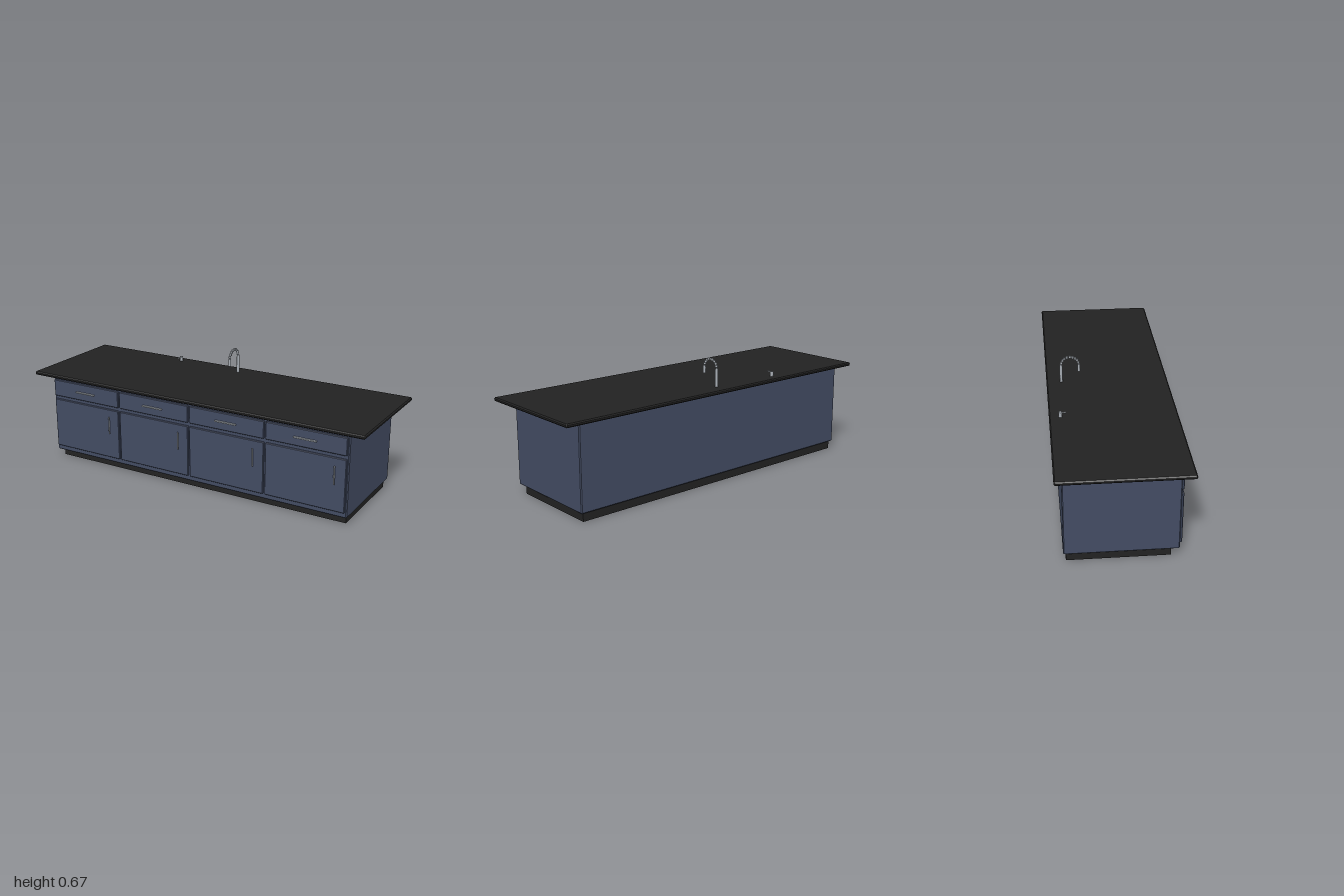
import * as THREE from 'three';
import { ConvexGeometry } from 'three/addons/geometries/ConvexGeometry.js';

const material = (name, color) => Object.assign(new THREE.MeshStandardMaterial({ color }), { name });

// Box between two corners with every edge chamfered by c
function chamferBox([x0, y0, z0], [x1, y1, z1], c) {
  const half = new THREE.Vector3(x1 - x0, y1 - y0, z1 - z0).multiplyScalar(0.5);
  const points = [];
  for (const sx of [-1, 1]) for (const sy of [-1, 1]) for (const sz of [-1, 1]) {
    for (const full of [0, 1, 2]) {
      const inset = [0, 1, 2].map((axis) => (axis === full ? 0 : c));
      points.push(new THREE.Vector3(
        sx * (half.x - inset[0]), sy * (half.y - inset[1]), sz * (half.z - inset[2])));
    }
  }
  return new ConvexGeometry(points).translate((x0 + x1) / 2, (y0 + y1) / 2, (z0 + z1) / 2);
}

export function createModel() {
  const model = new THREE.Group();
  model.name = 'kitchenIsland';
  const blue = material('cabinetBlue', 0x434c63);
  const black = material('stoneBlack', 0x222222);
  const steel = material('brushedSteel', 0xa6acb3);

  const add = (parent, name, geometry, mat, x = 0, y = 0, z = 0) => {
    const mesh = new THREE.Mesh(geometry, mat);
    mesh.name = name;
    mesh.position.set(x, y, z);
    parent.add(mesh);
    return mesh;
  };
  const rod = (r, h, sides = 16) => new THREE.CylinderGeometry(r, r, h, sides);
  const group = (name) => {
    const g = new THREE.Group();
    g.name = name;
    model.add(g);
    return g;
  };

  // Recessed plinth, cabinet body and worktop
  add(model, 'plinth', new THREE.BoxGeometry(1.78, 0.048, 0.512), black, 0, 0.024, -0.021);
  add(model, 'cabinetBody', chamferBox([-0.907, 0.046, -0.29], [0.907, 0.498, 0.275], 0.005), blue);
  add(model, 'worktop', chamferBox([-1, 0.498, -0.327], [1, 0.518, 0.327], 0.006), black);

  // Four bays, each with a drawer above a door
  for (let i = 0; i < 4; i++) {
    const x = (i - 1.5) * 0.451;
    const bay = group('bay' + (i + 1));
    add(bay, 'drawerFront', chamferBox([x - 0.221, 0.38, 0.27], [x + 0.221, 0.475, 0.286], 0.003), blue);
    add(bay, 'door', chamferBox([x - 0.221, 0.076, 0.27], [x + 0.221, 0.361, 0.286], 0.003), blue);
    add(bay, 'drawerHandle', new THREE.BoxGeometry(0.123, 0.006, 0.013), steel, x, 0.427, 0.292);
    add(bay, 'doorHandle', rod(0.004, 0.096), steel, x + 0.163, 0.271, 0.295);
  }

  // Gooseneck tap made of short stacked collars
  const tap = group('tap');
  const arcZ = -0.199, arcY = 0.613, arcR = 0.048;
  add(tap, 'tapColumn', rod(0.008, 0.097), steel, 0, 0.5655, arcZ - arcR);
  for (let i = 0; i <= 10; i++) {
    const a = (i / 10) * Math.PI;
    add(tap, 'neckCollar', rod(0.007, 0.011), steel,
      0, arcY + arcR * Math.sin(a), arcZ - arcR * Math.cos(a));
  }
  add(tap, 'tapSpout', rod(0.0075, 0.032), steel, 0, 0.593, arcZ + arcR);

  // Soap dispenser
  const dispenser = group('soapDispenser');
  add(dispenser, 'dispenserBody', rod(0.009, 0.027), steel, -0.394, 0.5315, -0.269);
  add(dispenser, 'dispenserNozzle', rod(0.004, 0.03), steel, -0.394, 0.541, -0.255).rotation.x = Math.PI / 2;

  return model;
}
